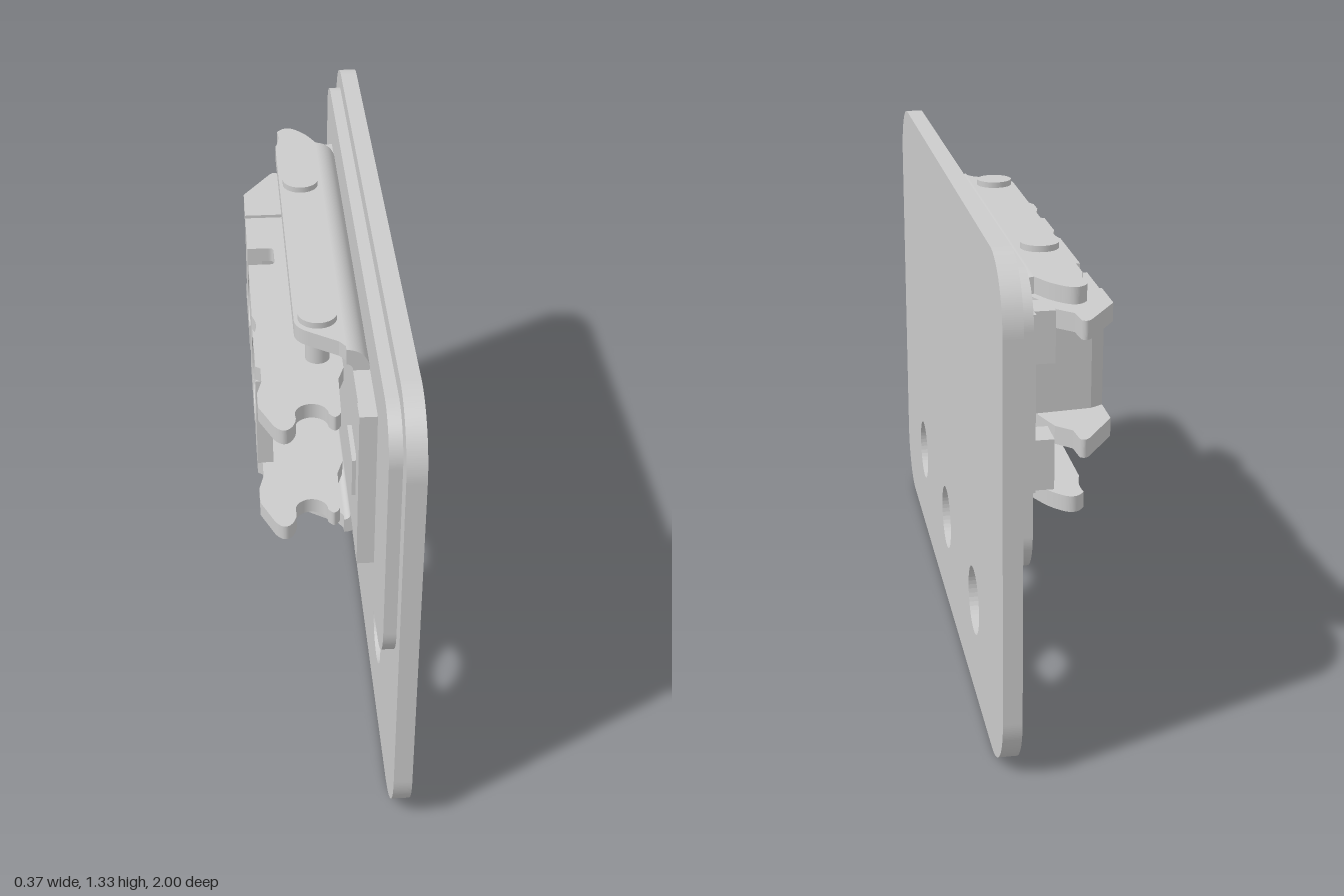
import * as THREE from 'three';

const MID = 0.903; // height of the clip's mirror plane

export function createModel() {
  const root = new THREE.Group();
  const mat = new THREE.MeshStandardMaterial({ color: 0xcccccc, side: THREE.DoubleSide });

  const add = (name, geo) => {
    const mesh = new THREE.Mesh(geo, mat);
    mesh.name = name;
    root.add(mesh);
    return mesh;
  };
  const poly = pts => new THREE.Shape(pts.map(p => new THREE.Vector2(p[0], p[1])));
  const extrude = (shape, depth) =>
    new THREE.ExtrudeGeometry(shape, { depth, bevelEnabled: false, curveSegments: 24 });
  // Outline in (z, y), solid between x0 and x1
  const plateX = (shape, x0, x1) => extrude(shape, x1 - x0).rotateY(-Math.PI / 2).translate(x1, 0, 0);
  // Outline in (x, z), solid between y0 and y1
  const plateY = (shape, y0, y1) => extrude(shape, y1 - y0).rotateX(Math.PI / 2).translate(0, y1, 0);
  // Same plate above and below the mirror plane
  const pairY = (name, shape, y0, y1) => {
    add('upper ' + name, plateY(shape, y0, y1));
    add('lower ' + name, plateY(shape, 2 * MID - y1, 2 * MID - y0));
  };
  const box = (name, x0, x1, y0, y1, z0, z1) =>
    add(name, new THREE.BoxGeometry(x1 - x0, y1 - y0, z1 - z0)
      .translate((x0 + x1) / 2, (y0 + y1) / 2, (z0 + z1) / 2));
  const roundRect = (x0, x1, y0, y1, r) => {
    const s = new THREE.Shape();
    s.absarc(x1 - r, y1 - r, r, 0, Math.PI / 2);
    s.absarc(x0 + r, y1 - r, r, Math.PI / 2, Math.PI);
    s.absarc(x0 + r, y0 + r, r, Math.PI, 1.5 * Math.PI);
    s.absarc(x1 - r, y0 + r, r, 1.5 * Math.PI, 2 * Math.PI);
    s.closePath();
    return s;
  };

  // Main plate with three holes
  const plate = roundRect(-1, 1, 0, 1.333, 0.17);
  for (const z of [-0.535, 0, 0.535]) {
    plate.holes.push(new THREE.Path().absarc(z, 0.27, 0.093, 0, Math.PI * 2, true));
  }
  add('mainPlate', plateX(plate, 0.133, 0.182));
  add('backingPad', plateX(roundRect(-0.945, 0.94, 0.525, 1.28, 0.12), 0.1, 0.133));

  // Outer bracket: base with rounded bends into two side flanges
  const [lo, hi, t, R] = [0.608, 1.198, 0.043, 0.06];
  const u = new THREE.Shape();
  u.moveTo(0.04, lo);
  u.absarc(0.04, lo + R, R, -Math.PI / 2, 0);
  u.absarc(0.04, hi - R, R, 0, Math.PI / 2);
  u.lineTo(0.04, hi - t);
  u.absarc(0.04, hi - R, R - t, Math.PI / 2, 0, true);
  u.absarc(0.04, lo + R, R - t, 0, -Math.PI / 2, true);
  u.closePath();
  add('bracketBase', extrude(u, 1.14).translate(0, 0, -0.64));
  const flange = poly([[0.042, -0.64], [0.03, -0.665]]);
  flange.quadraticCurveTo(0.015, -0.7, -0.01, -0.725);
  flange.quadraticCurveTo(-0.045, -0.765, -0.073, -0.72);
  flange.quadraticCurveTo(-0.065, -0.67, -0.083, -0.62);
  flange.lineTo(-0.083, 0.36);
  flange.quadraticCurveTo(-0.08, 0.39, -0.05, 0.41);
  flange.lineTo(0.025, 0.46);
  flange.lineTo(0.042, 0.485);
  flange.closePath();
  pairY('bracketFlange', flange, hi - t, hi);

  // Forked rear end and front tongue of the bracket
  box('rearTab', 0.057, 0.1, 0.67, 1.136, -0.75, -0.63);
  for (const y of [0.668, 1.003]) box('rearEar', 0.005, 0.058, y, y + 0.135, -0.73, -0.64);
  box('frontTongue', 0.045, 0.1, 0.848, 0.958, 0.49, 0.64);
  box('frontTab', 0.055, 0.1, 0.67, 1.136, 0.64, 0.7);
  box('frontRail', 0.057, 0.1, 0.67, 1.136, 0.49, 0.64);
  add('rivetDisc', new THREE.CylinderGeometry(0.095, 0.095, 0.02, 40)
    .rotateZ(Math.PI / 2).translate(0.05, MID, -0.55));

  // Inner channel sides with slot, dip and hooked front ends
  const side = poly([[-0.185, -0.42], [-0.185, -0.22], [-0.125, -0.22]]);
  side.quadraticCurveTo(-0.11, -0.22, -0.11, -0.205);
  side.lineTo(-0.11, -0.145);
  side.quadraticCurveTo(-0.11, -0.13, -0.125, -0.13);
  side.lineTo(-0.185, -0.13);
  side.lineTo(-0.185, 0.14);
  side.quadraticCurveTo(-0.166, 0.185, -0.185, 0.23);
  for (const p of [[-0.185, 0.38], [-0.172, 0.39], [-0.172, 0.45], [-0.185, 0.5], [-0.185, 0.56], [-0.15, 0.64]]) {
    side.lineTo(p[0], p[1]);
  }
  side.quadraticCurveTo(-0.125, 0.68, -0.103, 0.645);
  side.quadraticCurveTo(-0.09, 0.62, -0.095, 0.6);
  side.absarc(-0.053, 0.597, 0.042, Math.PI, 2 * Math.PI);
  side.quadraticCurveTo(0.005, 0.63, 0.02, 0.595);
  side.lineTo(0.025, 0.45);
  side.lineTo(0.042, 0.4);
  side.lineTo(0.042, -0.42);
  side.closePath();
  pairY('channelSide', side, 1.035, 1.077);

  // Flared rear wings
  const wing = poly([[-0.185, -0.4], [-0.185, -0.53], [-0.105, -0.65]]);
  wing.quadraticCurveTo(-0.09, -0.675, -0.075, -0.66);
  wing.lineTo(-0.07, -0.6);
  wing.lineTo(-0.03, -0.56);
  wing.lineTo(0.0, -0.47);
  wing.lineTo(0.03, -0.4);
  wing.closePath();
  pairY('rearWing', wing, 1.036, 1.086);

  // Channel web: two plates around the round opening, the front one with an oval hole
  const [y0, y1, a, q] = [0.77, 1.036, 0.467, Math.PI / 2];
  const rearWeb = poly([[-0.42, y0], [-0.22, y0]]);
  rearWeb.absarc(-0.175, MID, 0.1, 3 * q - a, q + a, true);
  rearWeb.lineTo(-0.22, y1);
  rearWeb.lineTo(-0.42, y1);
  rearWeb.closePath();
  add('rearWeb', plateX(rearWeb, -0.185, -0.143));
  const frontWeb = poly([[0.39, y0], [0.39, y1], [-0.13, y1]]);
  frontWeb.absarc(-0.175, MID, 0.1, q - a, -q + a, true);
  frontWeb.lineTo(-0.13, y0);
  frontWeb.closePath();
  frontWeb.holes.push(new THREE.Path().absellipse(0.185, MID, 0.1, 0.122, 0, Math.PI * 2, true));
  add('frontWeb', plateX(frontWeb, -0.185, -0.143));
  add('openingSleeve', new THREE.CylinderGeometry(0.1, 0.1, 0.14, 40, 1, true)
    .rotateZ(Math.PI / 2).translate(-0.075, MID, -0.175));

  // Rear wall bent inward from the web
  const wall = poly([[-0.185, -0.4], [-0.185, -0.43], [-0.15, -0.45], [0.042, -0.47], [0.042, -0.43], [-0.143, -0.4]]);
  add('channelRearWall', plateY(wall, y0, y1));

  // Pins joining bracket and channel
  for (const z of [-0.375, 0.347]) {
    for (const s of [-1, 1]) {
      add('pin', new THREE.CylinderGeometry(0.032, 0.032, 0.13, 28).translate(-0.022, MID + s * 0.232, z));
      add('pinHead', new THREE.CylinderGeometry(0.051, 0.051, 0.025, 36).translate(-0.022, MID + s * 0.299, z));
    }
  }
  return root;
}
